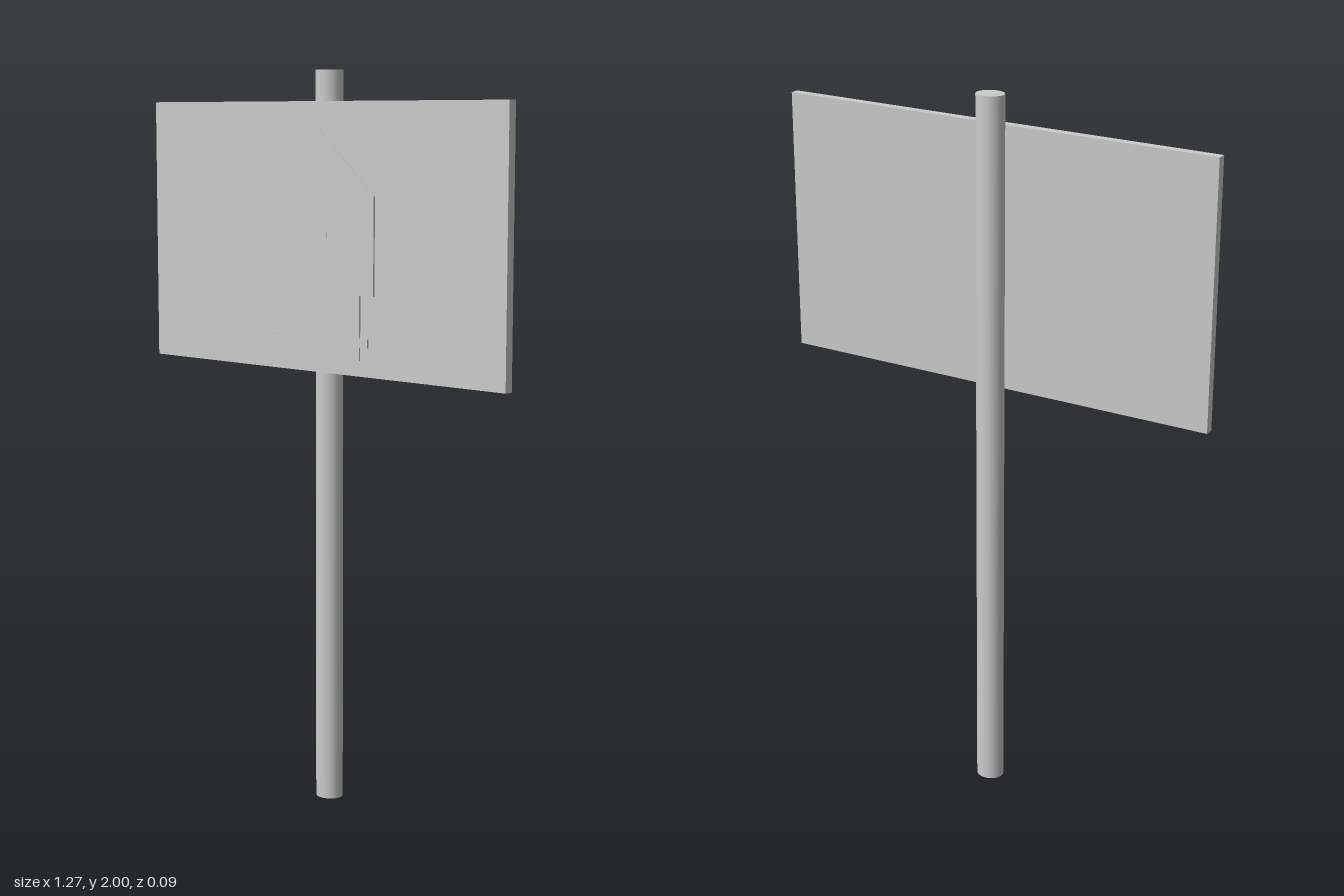
import * as THREE from 'three';

export function createModel() {
  const group = new THREE.Group();
  const material = new THREE.MeshStandardMaterial({ color: 0xcccccc });

  const add = (name, geometry, x, y, z) => {
    const mesh = new THREE.Mesh(geometry, material);
    mesh.name = name;
    mesh.position.set(x, y, z);
    group.add(mesh);
    return mesh;
  };

  // Slightly oval post
  const post = add('post', new THREE.CylinderGeometry(0.039, 0.039, 2, 24), -0.006, 1, -0.01);
  post.scale.z = 0.9;

  // Rectangular sign board fixed to the front of the post
  add('board', new THREE.BoxGeometry(1.274, 0.72, 0.025), 0, 1.558, 0.026);

  // Thin raised emblem: gabled outline with a narrower base
  const half = [[0.2, 1.673], [0.2, 1.413], [0.15, 1.413], [0.15, 1.24]];
  const outline = [[0, 1.85], ...half, ...half.map(([x, y]) => [-x, y]).reverse()];
  const shape = new THREE.Shape(outline.map(([x, y]) => new THREE.Vector2(x, y)));
  add('emblem', new THREE.ExtrudeGeometry(shape, { depth: 0.006, bevelEnabled: false }), 0, 0, 0.038);

  // Small raised bars on the emblem
  for (const side of [-1, 1]) {
    add('emblemFoot', new THREE.BoxGeometry(0.08, 0.024, 0.007), side * 0.14, 1.288, 0.0415);
  }
  add('emblemBar', new THREE.BoxGeometry(0.11, 0.015, 0.007), -0.02, 1.567, 0.0415);

  return group;
}
